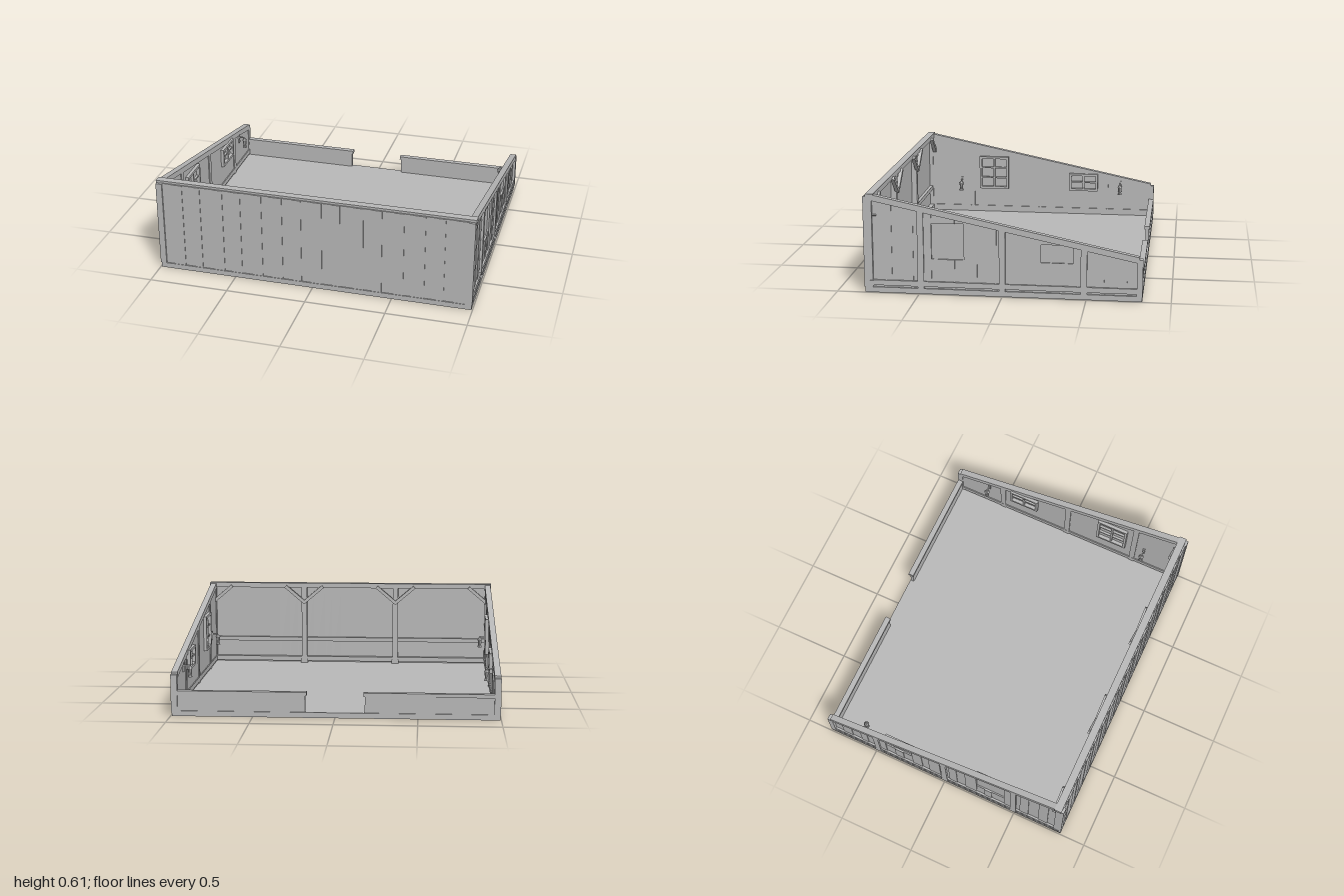
import * as THREE from 'three';

const grey = new THREE.MeshStandardMaterial({ color: 0xb8b8b8 });
grey.name = 'plain grey';

// Height of the sloping side-wall top at depth z
const slopeY = (z) => 0.27 + (z + 0.81) * 0.208;

// Box given by its limits
function block(parent, name, x0, x1, y0, y1, z0, z1) {
  const m = new THREE.Mesh(new THREE.BoxGeometry(x1 - x0, y1 - y0, z1 - z0), grey);
  m.position.set((x0 + x1) / 2, (y0 + y1) / 2, (z0 + z1) / 2);
  m.name = name;
  parent.add(m);
  return m;
}

// Outline of [z, y] points, thickened from x0 to x1 on side s
function slab(parent, name, s, pts, x0, x1) {
  const shape = new THREE.Shape(pts.map(([z, y]) => new THREE.Vector2(z, y)));
  const geo = new THREE.ExtrudeGeometry(shape, { depth: x1 - x0, bevelEnabled: false });
  geo.rotateY(-Math.PI / 2);
  const m = new THREE.Mesh(geo, grey);
  m.position.x = s > 0 ? x1 : -x0;
  m.name = name;
  parent.add(m);
}

// Uneven board edges between a and b, with extra edges forced in
function boardEdges(a, b, forced = []) {
  const widths = [0.06, 0.07, 0.065, 0.05, 0.08, 0.065, 0.055];
  const edges = [a, b, ...forced];
  let p = a;
  for (let i = 0; (p += widths[i % widths.length]) < b - 0.03; i++) {
    if (forced.every((f) => Math.abs(f - p) > 0.02)) edges.push(p);
  }
  return edges.sort((m, n) => m - n);
}

const windows = [
  { z0: 0.23, z1: 0.425, y0: 0.215, y1: 0.435, rows: 3 },
  { z0: -0.42, z1: -0.23, y0: 0.215, y1: 0.325, rows: 2 },
];

function windowFrame(parent, s, w) {
  const g = new THREE.Group();
  g.name = 'window';
  const bx = (name, xa, xb, y0, y1, z0, z1) =>
    block(g, name, Math.min(s * xa, s * xb), Math.max(s * xa, s * xb), y0, y1, z0, z1);
  const { z0, z1, y0, y1, rows } = w, t = 0.016;
  bx('pane', 0.965, 0.972, y0, y1, z0, z1);
  for (const y of [y0, y1]) bx('frameRail', 0.942, 0.968, y - t / 2, y + t / 2, z0 - t / 2, z1 + t / 2);
  for (const z of [z0, z1]) bx('frameStile', 0.942, 0.968, y0, y1, z - t / 2, z + t / 2);
  const zm = (z0 + z1) / 2;
  bx('mullion', 0.948, 0.966, y0, y1, zm - 0.006, zm + 0.006);
  for (let i = 1; i < rows; i++) {
    const y = y0 + ((y1 - y0) * i) / rows;
    bx('glazingBar', 0.95, 0.966, y - 0.005, y + 0.005, z0, z1);
  }
  parent.add(g);
}

function lantern(parent, s, z) {
  const g = new THREE.Group();
  g.name = 'lantern';
  const tube = (name, r0, r1, h, y) => {
    const m = new THREE.Mesh(new THREE.CylinderGeometry(r0, r1, h, 8).toNonIndexed(), grey);
    m.geometry.computeVertexNormals();
    m.position.y = y;
    m.name = name;
    g.add(m);
  };
  tube('lanternBase', 0.012, 0.015, 0.012, 0.2);
  tube('lanternBody', 0.014, 0.01, 0.042, 0.227);
  tube('lanternCap', 0.006, 0.018, 0.016, 0.256);
  block(g, 'bracket', s > 0 ? 0 : -0.05, s > 0 ? 0.05 : 0, 0.264, 0.272, -0.004, 0.004);
  block(g, 'bracketPlate', s > 0 ? 0.036 : -0.045, s > 0 ? 0.045 : -0.036, 0.225, 0.285, -0.008, 0.008);
  g.position.set(s * 0.918, 0, z);
  parent.add(g);
}

function sideWall(s) {
  const g = new THREE.Group();
  g.name = s > 0 ? 'leftWall' : 'rightWall';
  const bx = (name, xa, xb, y0, y1, z0, z1) =>
    block(g, name, Math.min(s * xa, s * xb), Math.max(s * xa, s * xb), y0, y1, z0, z1);

  // Upright boards, cut around the windows
  const edges = boardEdges(-0.8, 0.79, windows.flatMap((w) => [w.z0, w.z1]));
  for (let i = 0; i < edges.length - 1; i++) {
    const a = edges[i], b = edges[i + 1], mid = (a + b) / 2;
    const out = 0.98 + (i % 2) * 0.004;
    const w = windows.find((v) => mid > v.z0 && mid < v.z1);
    const top = (z) => slopeY(z) - 0.02;
    if (w) {
      slab(g, 'board', s, [[a, 0.03], [b, 0.03], [b, w.y0], [a, w.y0]], 0.963, out);
      slab(g, 'board', s, [[a, w.y1], [b, w.y1], [b, top(b)], [a, top(a)]], 0.963, out);
    } else {
      slab(g, 'board', s, [[a, 0.03], [b, 0.03], [b, top(b)], [a, top(a)]], 0.963, out);
    }
  }

  // Sloping top beam, sill and posts
  const za = -0.812, zb = 0.8;
  slab(g, 'slopingBeam', s, [[za, slopeY(za) - 0.037], [zb, slopeY(zb) - 0.037],
    [zb, slopeY(zb)], [za, slopeY(za)]], 0.956, 0.995);
  bx('sillRail', 0.956, 0.993, 0.045, 0.077, -0.8, 0.8);
  for (const z of [0.49, 0, -0.485]) {
    const a = z - 0.019, b = z + 0.019;
    slab(g, 'sidePost', s, [[a, 0.03], [b, 0.03], [b, slopeY(b) - 0.03], [a, slopeY(a) - 0.03]], 0.957, 0.994);
  }
  bx('frontCornerPost', 0.958, 0.997, 0.035, 0.59, 0.78, 0.833);
  bx('backCornerPost', 0.958, 0.997, 0.03, 0.255, -0.832, -0.797);

  windows.forEach((w) => windowFrame(g, s, w));
  for (const z of [0.565, -0.59]) lantern(g, s, z);
  return g;
}

// Diagonal brace in the front wall, from the post outwards to the top beam
function brace(parent, x, dir) {
  const dx = 0.13, dy = 0.11;
  const m = block(parent, 'brace', -0.09, 0.09, -0.011, 0.011, -0.012, 0.012);
  m.position.set(x + (dir * dx) / 2, 0.525, 0.768);
  m.rotation.z = dir * Math.atan2(dy, dx);
}

function frontWall() {
  const g = new THREE.Group();
  g.name = 'frontWall';
  const edges = boardEdges(-0.96, 0.96);
  for (let i = 0; i < edges.length - 1; i++) {
    block(g, 'board', edges[i], edges[i + 1], 0.03, 0.592, 0.806, 0.823 + (i % 2) * 0.004);
  }
  block(g, 'topBeam', -1, 1, 0.573, 0.606, 0.77, 0.817);
  block(g, 'sillRail', -0.999, 0.999, 0.043, 0.075, 0.775, 0.818);
  block(g, 'middleRail', -0.96, 0.96, 0.185, 0.213, 0.785, 0.81);
  for (const x of [-0.325, 0.325]) {
    block(g, 'innerPost', x - 0.019, x + 0.019, 0.03, 0.58, 0.77, 0.81);
    block(g, 'postFoot', x - 0.025, x + 0.025, 0.03, 0.06, 0.762, 0.81);
    brace(g, x, 1);
    brace(g, x, -1);
  }
  brace(g, -0.975, 1);
  brace(g, 0.975, -1);
  return g;
}

// Low back wall in two halves with a gap between
function backWall(s) {
  const g = new THREE.Group();
  g.name = 'lowBackWall';
  const bx = (name, xa, xb, y0, y1, z0, z1) =>
    block(g, name, Math.min(s * xa, s * xb), Math.max(s * xa, s * xb), y0, y1, z0, z1);
  bx('wallPanel', 0.18, 0.96, 0.03, 0.14, -0.824, -0.804);
  bx('wallCap', 0.172, 0.96, 0.135, 0.157, -0.832, -0.797);
  return g;
}

export function createModel() {
  const model = new THREE.Group();
  model.name = 'openShed';
  block(model, 'floor', -0.993, 0.993, 0, 0.033, -0.83, 0.83);
  model.add(frontWall());
  for (const s of [1, -1]) model.add(sideWall(s), backWall(s));
  return model;
}
